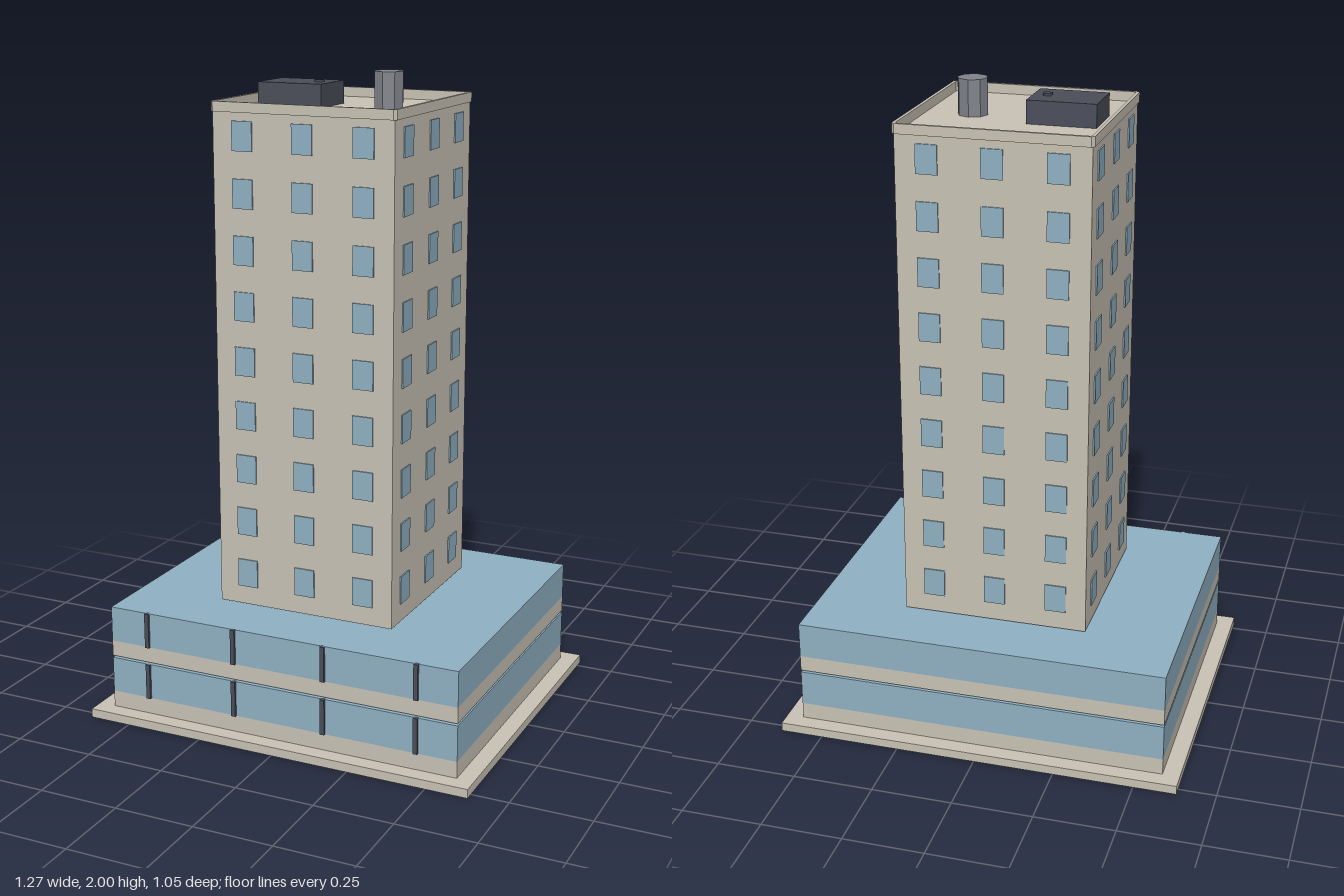
import * as THREE from 'three';

const mat = (name, color) => {
  const m = new THREE.MeshStandardMaterial({ color });
  m.name = name;
  return m;
};

export function createModel() {
  const concrete = mat('concrete', 0xc8c2b4);
  const glass = mat('glass', 0x8fb0c2);
  const darkMetal = mat('darkMetal', 0x4a4d59);
  const tankMetal = mat('tankMetal', 0x80838a);

  const model = new THREE.Group();
  model.name = 'towerBuilding';

  const add = (parent, name, geometry, material, x = 0, y = 0, z = 0) => {
    const mesh = new THREE.Mesh(geometry, material);
    mesh.name = name;
    mesh.position.set(x, y, z);
    parent.add(mesh);
    return mesh;
  };
  // Box standing on a given height
  const block = (parent, name, w, h, d, material, x, bottom, z) =>
    add(parent, name, new THREE.BoxGeometry(w, h, d), material, x, bottom + h / 2, z);

  // Ground slab
  block(model, 'baseSlab', 1.266, 0.028, 1.054, concrete, 0, 0, 0);

  // Two podium storeys: a low wall, a glass band and front mullions
  const storeys = [
    { wall: 0.028, glass: 0.08, top: 0.193 },
    { wall: 0.2, glass: 0.25, top: 0.362 },
  ];
  storeys.forEach((s, i) => {
    const storey = new THREE.Group();
    storey.name = `podiumStorey${i + 1}`;
    model.add(storey);
    block(storey, 'podiumWall', 1.16, s.glass - s.wall, 0.952, concrete, 0, s.wall, 0);
    block(storey, 'podiumGlass', 1.16, s.top - s.glass, 0.952, glass, 0, s.glass, 0);
    for (const x of [-0.45, -0.15, 0.15, 0.45]) {
      block(storey, 'mullion', 0.014, s.top - s.glass, 0.016, darkMetal, x, s.glass, 0.476);
    }
  });

  // Tower shaft
  const roofY = 1.89;
  block(model, 'towerShaft', 0.58, roofY - 0.37, 0.58, concrete, 0, 0.37, 0);

  // Windows: three columns by nine rows, repeated on the four sides
  const pane = new THREE.BoxGeometry(0.066, 0.088, 0.008);
  for (let side = 0; side < 4; side++) {
    const facade = new THREE.Group();
    facade.name = `windowsSide${side + 1}`;
    facade.rotation.y = side * Math.PI / 2;
    model.add(facade);
    for (let row = 0; row < 9; row++) {
      for (const x of [-0.194, 0, 0.194]) {
        add(facade, 'window', pane, glass, x, 0.472 + row * 0.1687, 0.29);
      }
    }
  }

  // Parapet: a thin ring with clipped corners
  const clippedSquare = (path, r, c) => {
    path.moveTo(r, -r + c);
    path.lineTo(r, r - c);
    path.lineTo(r - c, r);
    path.lineTo(-r + c, r);
    path.lineTo(-r, r - c);
    path.lineTo(-r, -r + c);
    path.lineTo(-r + c, -r);
    path.lineTo(r - c, -r);
    path.closePath();
    return path;
  };
  const ring = clippedSquare(new THREE.Shape(), 0.296, 0.009);
  ring.holes.push(clippedSquare(new THREE.Path(), 0.286, 0.004));
  const parapet = new THREE.ExtrudeGeometry(ring, { depth: 0.03, bevelEnabled: false });
  parapet.rotateX(-Math.PI / 2);
  add(model, 'parapet', parapet, concrete, 0, roofY, 0);

  // Roof equipment
  block(model, 'coolingUnit', 0.21, 0.07, 0.16, darkMetal, -0.145, roofY, 0);
  add(model, 'coolingVent', new THREE.CylinderGeometry(0.015, 0.015, 0.01, 6).toNonIndexed(), darkMetal, -0.084, 1.962, 0);
  const tank = new THREE.CylinderGeometry(0.046, 0.046, 0.11, 8).toNonIndexed();
  tank.computeVertexNormals();
  add(model, 'waterTank', tank, tankMetal, 0.144, roofY + 0.055, 0);

  return model;
}
